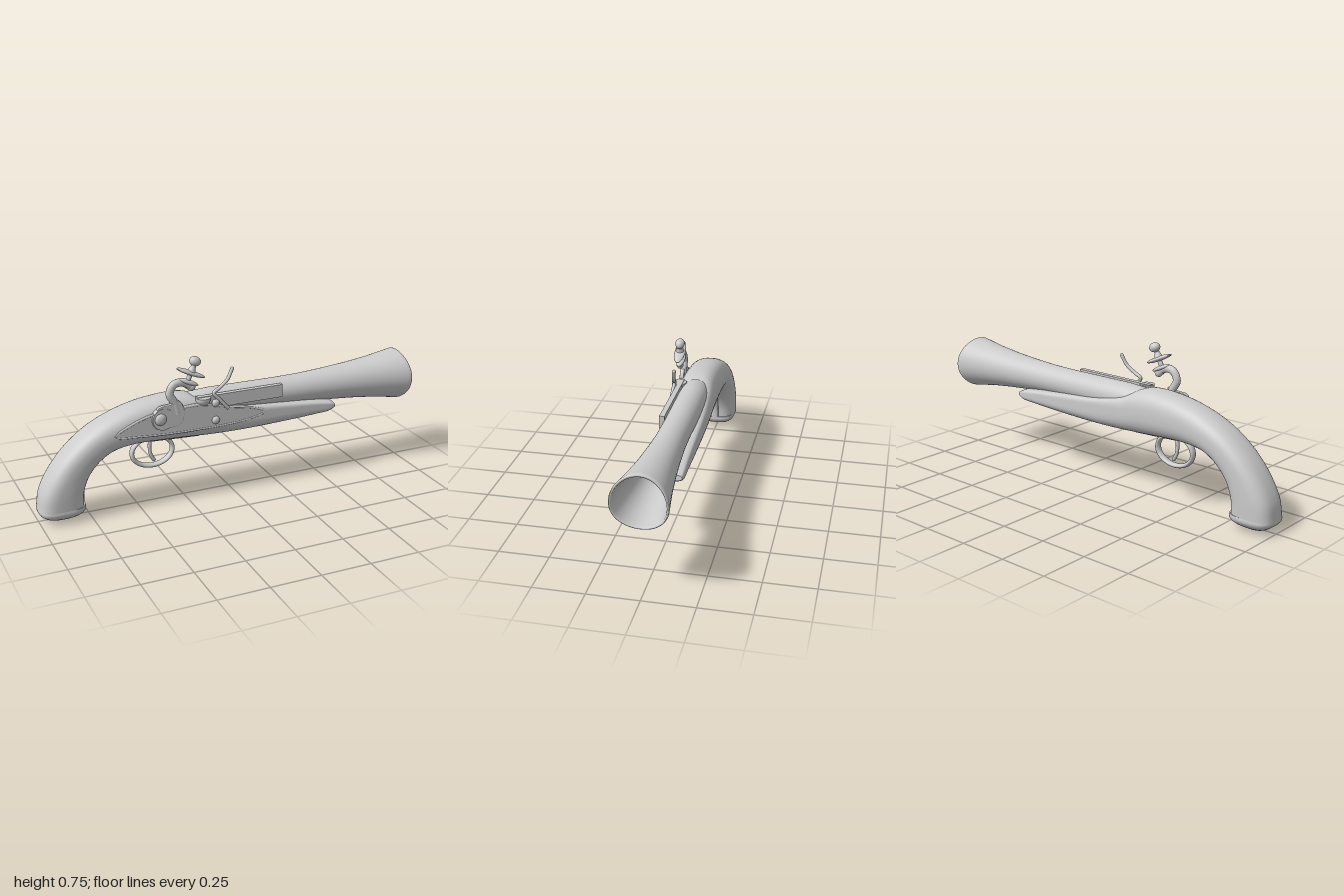
import * as THREE from 'three';

const material = new THREE.MeshStandardMaterial({ color: 0xcccccc, side: THREE.DoubleSide });
const RING = 40;

function add(parent, name, geometry, x = 0, y = 0, z = 0) {
  const mesh = new THREE.Mesh(geometry, material);
  mesh.name = name;
  mesh.position.set(x, y, z);
  parent.add(mesh);
  return mesh;
}

// Skin over sections [topX, topY, bottomX, bottomY, halfWidth, upperPower, lowerPower].
function loft(sections) {
  const first = sections[0], last = sections[sections.length - 1];
  const point = (s) => {
    const x = (s[0] + s[2]) / 2, y = (s[1] + s[3]) / 2;
    return [x, y, x, y, 0, 2, 2];
  };
  const rings = [point(first), first, ...sections, last, point(last)];
  const position = [], index = [];
  for (const [tx, ty, bx, by, w, up, low] of rings) {
    for (let j = 0; j < RING; j++) {
      const a = (j / RING) * Math.PI * 2, c = Math.cos(a), s = Math.sin(a);
      const power = 2 / (s > 0 ? up : low);
      const v = Math.sign(s) * Math.abs(s) ** power / 2;
      position.push((tx + bx) / 2 + (tx - bx) * v, (ty + by) / 2 + (ty - by) * v,
        w * Math.sign(c) * Math.abs(c) ** power);
    }
  }
  for (let i = 0; i < rings.length - 1; i++) {
    for (let j = 0; j < RING; j++) {
      const a = i * RING + j, b = i * RING + (j + 1) % RING;
      index.push(a, a + RING, b, b, a + RING, b + RING);
    }
  }
  const geometry = new THREE.BufferGeometry();
  geometry.setAttribute('position', new THREE.Float32BufferAttribute(position, 3));
  geometry.setIndex(index);
  geometry.computeVertexNormals();
  return geometry;
}

const curve = (points, closed = false) => new THREE.CatmullRomCurve3(
  points.map(([x, y, z = 0]) => new THREE.Vector3(x, y, z)), closed);

// Rod along a path, widened across z by the given factor.
function rod(points, radius, widen = 1, closed = false) {
  return new THREE.TubeGeometry(curve(points, closed), 56, radius, 12, closed).scale(1, 1, widen);
}

function plate(points, depth, bevel = 0.004) {
  const shape = new THREE.Shape();
  shape.moveTo(...points[0]);
  shape.splineThru([...points.slice(1), points[0]].map((p) => new THREE.Vector2(...p)));
  return new THREE.ExtrudeGeometry(shape, {
    depth, bevelSize: bevel, bevelThickness: bevel, bevelSegments: 2, curveSegments: 48,
  });
}

const dome = (r, depth) => new THREE.SphereGeometry(r, 24, 16).scale(1, 1, depth / r);

export function createModel() {
  const model = new THREE.Group();

  // Stock: curved grip running into the fore-end
  const keys = [
    [-1.0, 0.065, -0.778, 0.06, 0.095, 3, 3], [-0.985, 0.15, -0.775, 0.13, 0.097, 2.8, 2.8],
    [-0.93, 0.255, -0.745, 0.21, 0.097, 2.6, 2.6], [-0.84, 0.36, -0.69, 0.275, 0.097, 2.5, 2.5],
    [-0.72, 0.45, -0.62, 0.317, 0.097, 2.4, 2.5], [-0.56, 0.518, -0.52, 0.332, 0.097, 2.4, 2.5],
    [-0.4, 0.549, -0.4, 0.33, 0.097, 2.5, 2.5], [-0.25, 0.55, -0.25, 0.322, 0.097, 2.6, 2.5],
    [-0.13, 0.505, -0.13, 0.317, 0.097, 3.5, 2.5], [0.02, 0.466, 0.02, 0.315, 0.097, 6, 2.5],
    [0.25, 0.44, 0.25, 0.322, 0.097, 7, 2.5], [0.45, 0.42, 0.45, 0.335, 0.097, 7, 2.5],
    [0.535, 0.407, 0.535, 0.346, 0.097, 6, 2.5], [0.56, 0.398, 0.565, 0.365, 0.092, 4, 2.5],
  ];
  const tops = curve(keys.map((k) => [k[0], k[1], k[4]]));
  const bottoms = curve(keys.map((k) => [k[2], k[3]]));
  const stock = [];
  const STEPS = 78;
  for (let i = 0; i <= STEPS; i++) {
    const t = i / STEPS, u = t * (keys.length - 1);
    const n = Math.min(Math.floor(u), keys.length - 2);
    const mix = (k) => THREE.MathUtils.lerp(keys[n][k], keys[n + 1][k], u - n);
    const top = tops.getPoint(t), bottom = bottoms.getPoint(t);
    stock.push([top.x, top.y, bottom.x, bottom.y, top.z, mix(5), mix(6)]);
  }
  add(model, 'stock', loft(stock));

  // Domed butt cap with a soft rim
  const cap = [[0.05, 0], [0.3, 0.004], [0.55, 0.012], [0.78, 0.025], [0.93, 0.038],
    [1, 0.05], [1.01, 0.06], [0.99, 0.07]];
  add(model, 'buttCap', loft(cap.map(([k, y]) =>
    [-0.887 - 0.113 * k, y, -0.887 + 0.117 * k, y, 0.096 * k, 3, 3])));

  // Flared barrel, hollow, with a saddle-cut muzzle
  const profile = [[0, -0.262], [0.03, -0.258], [0.055, -0.24], [0.07, -0.2], [0.075, -0.1], [0.074, 0.1],
    [0.073, 0.25], [0.075, 0.4], [0.083, 0.54], [0.094, 0.68], [0.109, 0.82], [0.123, 0.92],
    [0.131, 0.975], [0.133, 0.99], [0.131, 0.998], [0.127, 1.0], [0.122, 0.996], [0.119, 0.98],
    [0.108, 0.9], [0.09, 0.76], [0.072, 0.6], [0.058, 0.42], [0.05, 0.2], [0, 0.19]];
  const barrel = new THREE.LatheGeometry(profile.map((p) => new THREE.Vector2(...p)), 64);
  barrel.rotateZ(-Math.PI / 2);
  const pos = barrel.attributes.position;
  for (let i = 0; i < pos.count; i++) {
    const x = pos.getX(i), y = pos.getY(i);
    pos.setX(i, x - 0.03 * (y / 0.133) ** 2 * THREE.MathUtils.smoothstep(x, 0.7, 0.98));
  }
  add(model, 'barrel', barrel, 0, 0.475, 0);

  // Lock plate with a raised moulding around it
  const outline = [[-0.63, 0.41], [-0.55, 0.456], [-0.45, 0.49], [-0.3, 0.505], [-0.18, 0.505],
    [-0.04, 0.473], [0.08, 0.45], [0.16, 0.418], [0.09, 0.395], [0, 0.384], [-0.26, 0.38], [-0.5, 0.392]];
  add(model, 'lockPlate', plate(outline, 0.03), 0, 0, 0.063);
  add(model, 'lockMoulding', rod(outline, 0.006, 1, true), 0, 0, 0.093);
  add(model, 'barrelSidePlate', new THREE.BoxGeometry(0.46, 0.066, 0.026), 0.03, 0.508, 0.072);

  // Priming pan and screws
  const pan = new THREE.SphereGeometry(0.038, 24, 12, 0, Math.PI * 2, Math.PI / 2, Math.PI / 2);
  add(model, 'pan', pan, -0.17, 0.533, 0.08);
  add(model, 'panRim', new THREE.CylinderGeometry(0.038, 0.038, 0.006, 24), -0.17, 0.535, 0.08);
  for (const y of [0.505, 0.415]) add(model, 'lockScrew', dome(0.02, 0.014), -0.11, y, 0.097);

  // Cock: round base, curved neck, two jaws and a clamp screw
  const cock = new THREE.Group();
  cock.name = 'cock';
  cock.position.z = 0.09;
  model.add(cock);
  add(cock, 'cockBase', new THREE.CylinderGeometry(0.055, 0.06, 0.022, 32).rotateX(Math.PI / 2),
    -0.385, 0.465, 0.005);
  add(cock, 'cockScrew', dome(0.03, 0.016), -0.4, 0.467, 0.014);
  add(cock, 'cockShoulder', plate([[-0.4, 0.415], [-0.3, 0.43], [-0.28, 0.49], [-0.305, 0.545],
    [-0.345, 0.53], [-0.41, 0.515]], 0.014), 0, 0, -0.004);
  add(cock, 'cockNeck', rod([[-0.31, 0.48], [-0.322, 0.535], [-0.347, 0.585], [-0.325, 0.628],
    [-0.28, 0.635], [-0.235, 0.605]], 0.02, 0.85));
  add(cock, 'neckTip', dome(0.021, 0.018), -0.235, 0.605, 0);
  const clamp = new THREE.Group();
  clamp.name = 'jawClamp';
  clamp.position.set(-0.25, 0.645, 0);
  clamp.rotation.z = -0.42;
  cock.add(clamp);
  add(clamp, 'clampScrew', new THREE.CylinderGeometry(0.012, 0.012, 0.13, 16), 0, 0.025, 0);
  add(clamp, 'lowerJaw', new THREE.SphereGeometry(1, 28, 14).scale(0.056, 0.012, 0.024), 0.005, -0.012, 0);
  add(clamp, 'upperJaw', new THREE.SphereGeometry(1, 28, 14).scale(0.08, 0.012, 0.028), 0, 0.034, 0);
  add(clamp, 'screwCollar', new THREE.CylinderGeometry(0.013, 0.022, 0.025, 20), 0, 0.052, 0);
  add(clamp, 'screwKnob', new THREE.SphereGeometry(1, 24, 16).scale(0.03, 0.024, 0.024), 0, 0.093, -0.005);

  // Frizzen: curved striking arm leaning in towards the barrel
  add(model, 'frizzen', rod([[-0.012, 0.66, 0.072], [-0.04, 0.612, 0.08], [-0.085, 0.578, 0.088],
    [-0.118, 0.556, 0.093], [-0.085, 0.515, 0.097], [-0.045, 0.468, 0.098]], 0.009));
  add(model, 'frizzenTip', dome(0.009, 0.009), -0.012, 0.66, 0.072);

  // Trigger guard, trigger and the straps under the stock
  const guard = [];
  for (let i = 0; i < 16; i++) {
    const a = (i / 16) * Math.PI * 2;
    guard.push([-0.412 + 0.106 * Math.cos(a), 0.268 + 0.077 * Math.sin(a)]);
  }
  add(model, 'triggerGuard', rod(guard, 0.011, 1.7, true), 0, 0, 0.003);
  add(model, 'trigger', rod([[-0.42, 0.34], [-0.425, 0.29], [-0.42, 0.25], [-0.402, 0.215]], 0.009), 0, 0, 0.003);
  add(model, 'gripStrap', rod(keys.slice(0, 7).map((k) => [k[2], k[3]]), 0.009, 2.1), 0, 0, 0.003);
  add(model, 'foreStrap', rod([[-0.42, 0.328], [-0.3, 0.322], [-0.17, 0.316]], 0.009, 2.1), 0, 0, 0.003);

  return model;
}
